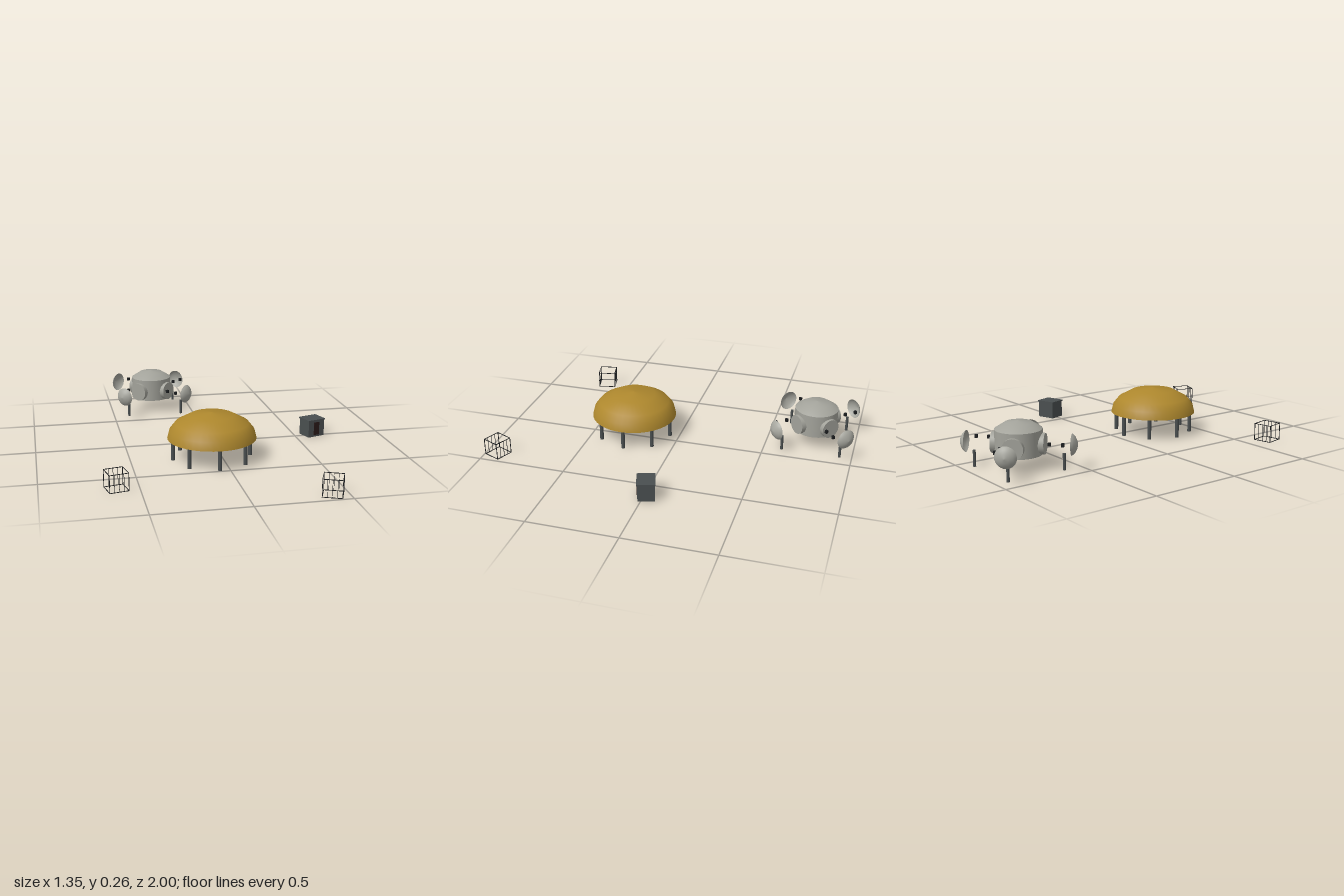
import * as THREE from 'three';

const mat = (name, color, side = THREE.FrontSide) => {
  const m = new THREE.MeshStandardMaterial({ color, side });
  m.name = name;
  return m;
};

export function createModel() {
  const gold = mat('gold', 0xad872d);
  const stone = mat('stone grey', 0xa3a39b);
  const shell = mat('shell grey', 0xa8a8a0, THREE.DoubleSide);
  const metal = mat('dark metal', 0x4a4f50);
  const darkBrown = mat('dark brown', 0x2a1a18);
  const black = mat('black', 0x1c1e20);

  const root = new THREE.Group();
  root.name = 'compound';

  const group = (name, x, z, angle = 0, parent = root) => {
    const g = new THREE.Group();
    g.name = name;
    g.position.set(x, 0, z);
    g.rotation.y = angle;
    parent.add(g);
    return g;
  };
  const add = (parent, name, geo, material, x = 0, y = 0, z = 0) => {
    const m = new THREE.Mesh(geo, material);
    m.name = name;
    m.position.set(x, y, z);
    parent.add(m);
    return m;
  };
  const box = (w, h, d) => new THREE.BoxGeometry(w, h, d);
  const lathe = (pts, n = 40) =>
    new THREE.LatheGeometry(pts.map(p => new THREE.Vector2(...p)), n);

  // Open pavilion: gold dome on a ring of eight posts
  const pavilion = group('pavilion', -0.055, 0.27);
  add(pavilion, 'dome', lathe([[0.243, 0.115], [0.232, 0.16], [0.2, 0.2], [0.12, 0.243], [0, 0.258]]), gold);
  add(pavilion, 'domeCeiling', new THREE.CircleGeometry(0.241, 40).rotateX(Math.PI / 2), darkBrown, 0, 0.118, 0);
  const post = new THREE.CylinderGeometry(0.011, 0.011, 0.118, 12);
  for (let i = 0; i < 8; i++) {
    const a = i * Math.PI / 4;
    add(pavilion, 'post', post, metal, Math.sin(a) * 0.215, 0.059, Math.cos(a) * 0.215);
  }

  // Round station with a low roof
  const station = group('station', -0.243, -0.767);
  add(station, 'body', new THREE.CylinderGeometry(0.122, 0.122, 0.13, 40), stone, 0, 0.143, 0);
  add(station, 'roof', lathe([[0.122, 0.208], [0.07, 0.241], [0, 0.25]]), stone);

  // Four diagonal ports, each with an outlying dish on a short post
  const port = new THREE.CylinderGeometry(0.055, 0.055, 0.07, 28).rotateX(Math.PI / 2);
  const dish = lathe([[0, 0.03], [0.022, 0.026], [0.041, 0.016], [0.05, 0.008], [0.056, 0]], 28).rotateX(Math.PI / 2);
  const stub = new THREE.CylinderGeometry(0.008, 0.008, 0.087, 10);
  for (let i = 0; i < 4; i++) {
    const arm = group('dishArm', 0, 0, Math.PI / 4 + i * Math.PI / 2, station);
    add(arm, 'port', port, stone, 0, 0.133, 0.102);
    add(arm, 'dish', dish, shell, 0, 0.133, 0.272);
    add(arm, 'dishPost', stub, metal, 0, 0.0435, 0.232);
    // Small sensor blocks, set slightly off the arm's axis
    for (const [x, z] of [[-0.06, 0.236], [-0.054, 0.168]])
      add(arm, 'sensor', box(0.014, 0.018, 0.014), black, x, 0.145, z);
  }

  // Hut with a flat overhanging roof and a door
  const hut = group('hut', 0.605, -0.012, 0.31);
  add(hut, 'walls', box(0.108, 0.095, 0.092), metal, 0, 0.0475, 0);
  add(hut, 'roof', box(0.116, 0.008, 0.1), metal, 0, 0.099, 0);
  add(hut, 'door', box(0.036, 0.076, 0.004), darkBrown, 0, 0.049, 0.047);

  // Two wire cages, barred on the front and back
  const cage = (x, z, angle) => {
    const g = group('cage', x, z, angle);
    const s = 0.05, t = 0.003, h = 0.096;
    for (const k of [-s, s]) {
      for (const y of [t / 2, h - t / 2]) {
        add(g, 'rail', box(2 * s + t, t, t), black, 0, y, k);
        add(g, 'rail', box(t, t, 2 * s + t), black, k, y, 0);
      }
      for (let i = 0; i <= 4; i++) {
        const w = i % 4 ? 0.002 : t;
        add(g, 'bar', box(w, h, w), black, -s + i * s / 2, h / 2, k);
      }
    }
  };
  cage(-0.616, 0.643, 0.208);
  cage(0.416, 0.928, -0.4);

  return root;
}
